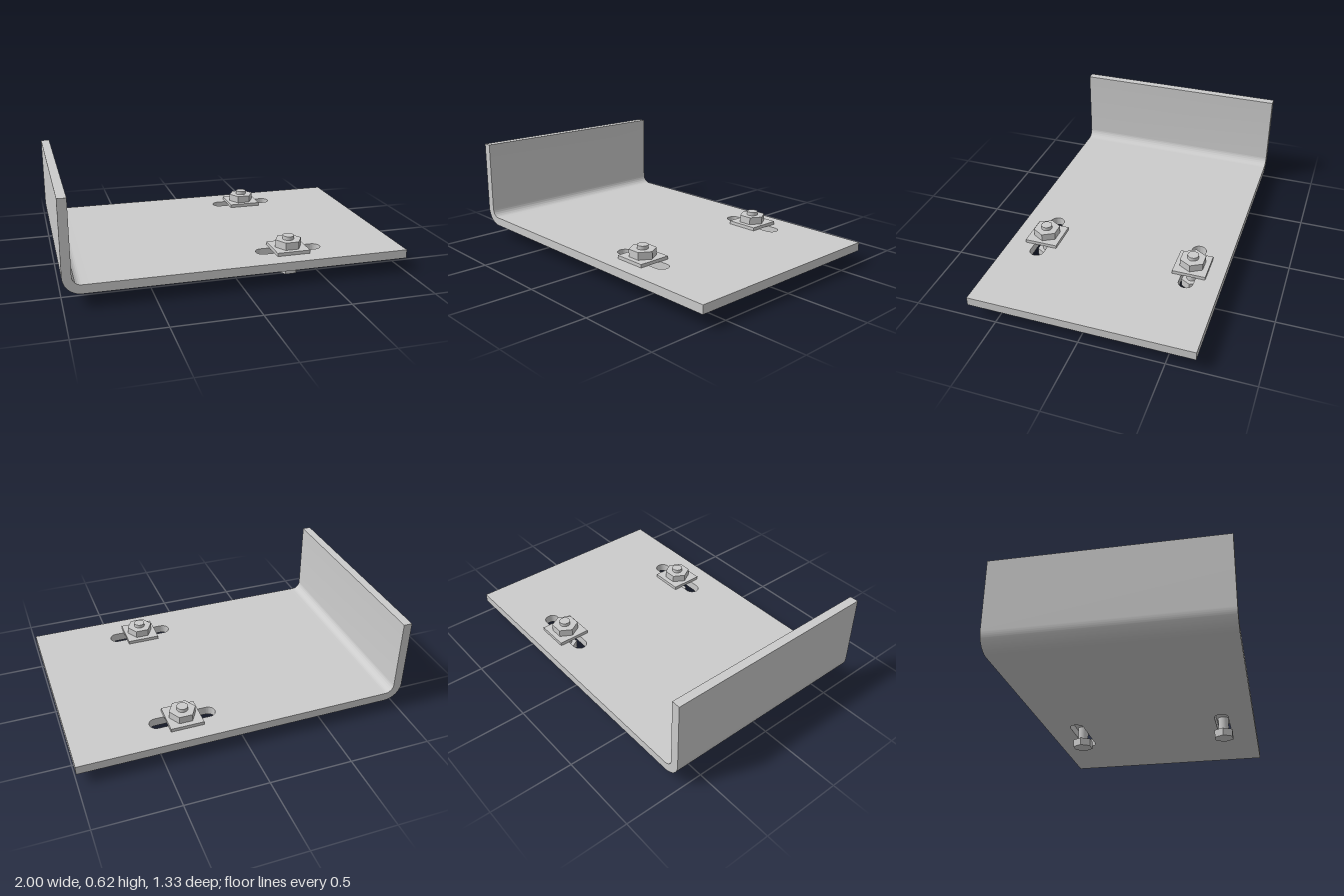
import * as THREE from 'three';
import { toCreasedNormals } from 'three/addons/utils/BufferGeometryUtils.js';

const smooth = new THREE.MeshStandardMaterial({ color: 0xcccccc });
const faceted = new THREE.MeshStandardMaterial({ color: 0xcccccc, flatShading: true });

const DEPTH = 1.333, BOTTOM = 0.083, TOP = 0.135, T = TOP - BOTTOM;
const BOLT_X = 0.33, BOLT_Z = 0.467;
const SEAM = -0.85; // where the flat plate meets the bent flange

function part(name, geometry, material, y = 0) {
  const mesh = new THREE.Mesh(geometry, material);
  mesh.name = name;
  mesh.position.y = y;
  return mesh;
}

// Flat plate with two rounded slots
function basePlate() {
  const h = DEPTH / 2, r = 0.043, reach = 0.2 - r;
  const shape = new THREE.Shape();
  shape.moveTo(SEAM, -h).lineTo(1, -h).lineTo(1, h).lineTo(SEAM, h).closePath();
  for (const z of [-BOLT_Z, BOLT_Z]) {
    const slot = new THREE.Path();
    slot.absarc(BOLT_X + reach, z, r, -Math.PI / 2, Math.PI / 2, false);
    slot.absarc(BOLT_X - reach, z, r, Math.PI / 2, Math.PI * 1.5, false);
    slot.closePath();
    shape.holes.push(slot);
  }
  const g = new THREE.ExtrudeGeometry(shape, { depth: T, bevelEnabled: false, curveSegments: 16 });
  g.rotateX(-Math.PI / 2);
  return part('basePlate', toCreasedNormals(g, 0.6), smooth, BOTTOM);
}

// Upright flange with its rounded bend
function bentFlange() {
  const inner = 0.052, outer = inner + T, cx = -1 + outer, cy = BOTTOM + outer, top = 0.617;
  const s = new THREE.Shape();
  s.moveTo(SEAM, BOTTOM).lineTo(SEAM, TOP).lineTo(cx, TOP);
  s.absarc(cx, cy, inner, Math.PI * 1.5, Math.PI, true);
  s.lineTo(-1 + T, top).lineTo(-1, top).lineTo(-1, cy);
  s.absarc(cx, cy, outer, Math.PI, Math.PI * 1.5, false);
  s.closePath();
  const g = new THREE.ExtrudeGeometry(s, { depth: DEPTH, bevelEnabled: false, curveSegments: 16 });
  g.translate(0, 0, -DEPTH / 2);
  return part('bentFlange', toCreasedNormals(g, 0.6), smooth);
}

// Hexagonal prism with corners pointing along x
function hex(name, radius, y0, y1) {
  const g = new THREE.CylinderGeometry(radius, radius, y1 - y0, 6);
  g.rotateY(Math.PI / 2);
  return part(name, g, faceted, (y0 + y1) / 2);
}

// Bolt from below, with square washer and nut on top
function fastener(z) {
  const group = new THREE.Group();
  group.name = 'fastener';
  const head = 0.048, washerTop = 0.155, shankTop = 0.222;
  group.add(
    hex('boltHead', 0.065, 0, head),
    part('boltShank', new THREE.CylinderGeometry(0.033, 0.033, shankTop - head, 32), smooth, (shankTop + head) / 2),
    part('squareWasher', new THREE.BoxGeometry(0.2, washerTop - TOP, 0.2), faceted, (washerTop + TOP) / 2),
    hex('nut', 0.08, washerTop, 0.2)
  );
  group.position.set(BOLT_X, 0, z);
  return group;
}

export function createModel() {
  const model = new THREE.Group();
  model.name = 'bracket';
  model.add(basePlate(), bentFlange(), fastener(BOLT_Z), fastener(-BOLT_Z));
  return model;
}
